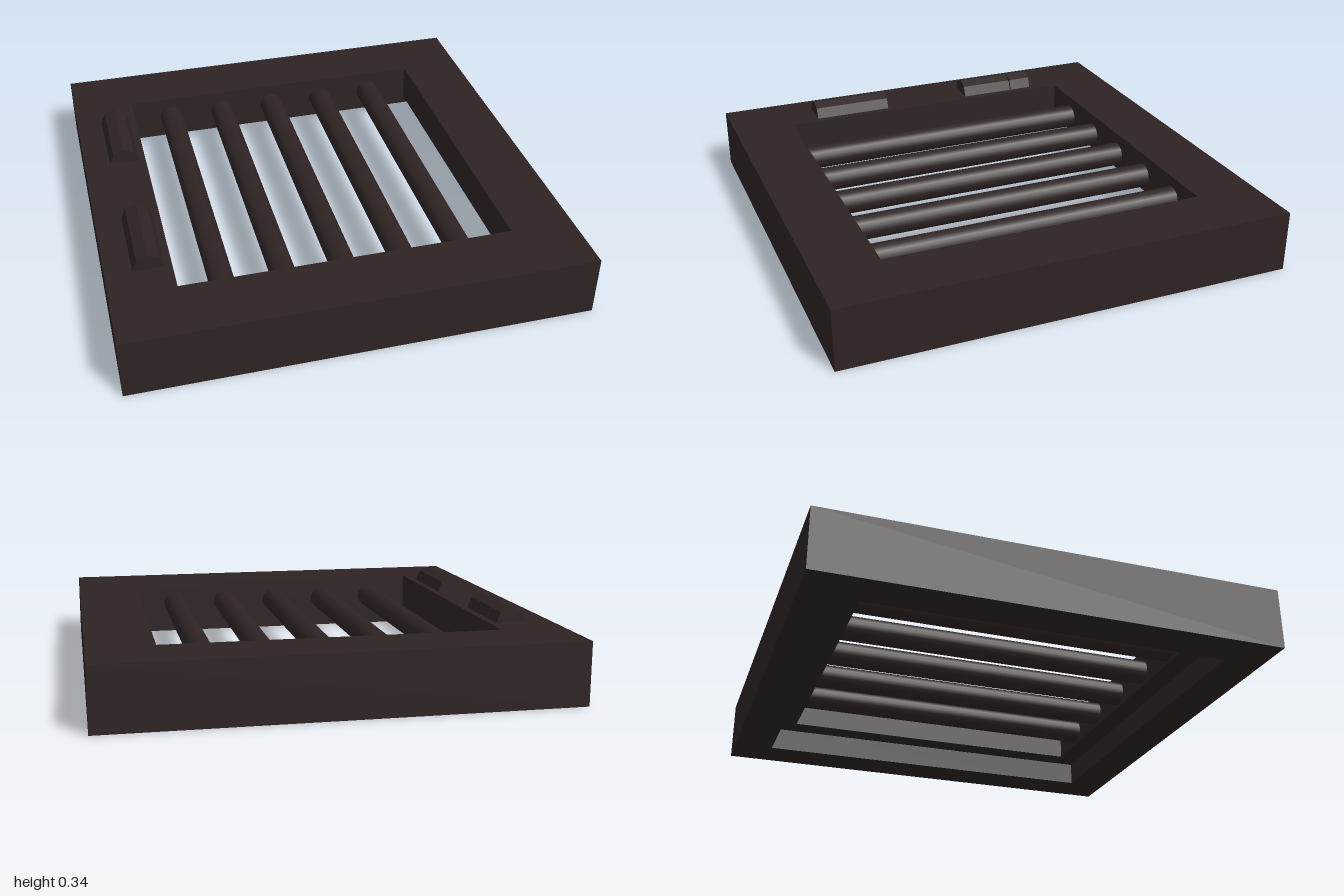
import * as THREE from 'three';

// Hard-edged copy of a geometry
function faceted(geometry) {
  const flat = geometry.toNonIndexed();
  flat.computeVertexNormals();
  return flat;
}

export function createModel() {
  const model = new THREE.Group();
  model.name = 'barredHatch';
  const darkIron = new THREE.MeshStandardMaterial({ color: 0x2e2323 });
  darkIron.name = 'darkIron';

  const add = (name, geometry, x = 0, y = 0, z = 0) => {
    const mesh = new THREE.Mesh(geometry, darkIron);
    mesh.name = name;
    mesh.position.set(x, y, z);
    model.add(mesh);
    return mesh;
  };

  // Square frame: a stepped section swept round four corners, recessed underneath
  const section = [
    [0.82, 0], [1, 0], [1, 0.272], [0.72, 0.272], [0.72, 0.105], [0.82, 0.105], [0.82, 0],
  ].map(([r, y]) => new THREE.Vector2(r * Math.SQRT2, y));
  add('frame', faceted(new THREE.LatheGeometry(section, 4, Math.PI / 4)));

  // Five round bars running front to back
  const barGeometry = new THREE.CylinderGeometry(0.055, 0.055, 1.46, 16);
  barGeometry.rotateX(Math.PI / 2);
  for (let i = 0; i < 5; i++) add('bar', barGeometry, -0.525 + i * 0.26, 0.17, 0);

  // Eight-sided hinge barrels half sunk in the frame; the rear one is split
  const hinge = (name, z0, z1) => {
    const geometry = new THREE.CylinderGeometry(0.067, 0.067, z1 - z0, 8);
    geometry.rotateX(Math.PI / 2);
    add(name, faceted(geometry), -0.818, 0.272, (z0 + z1) / 2);
  };
  hinge('frontHinge', 0.212, 0.582);
  hinge('rearHinge', -0.47, -0.214);
  hinge('rearHingeEnd', -0.584, -0.475);

  return model;
}
